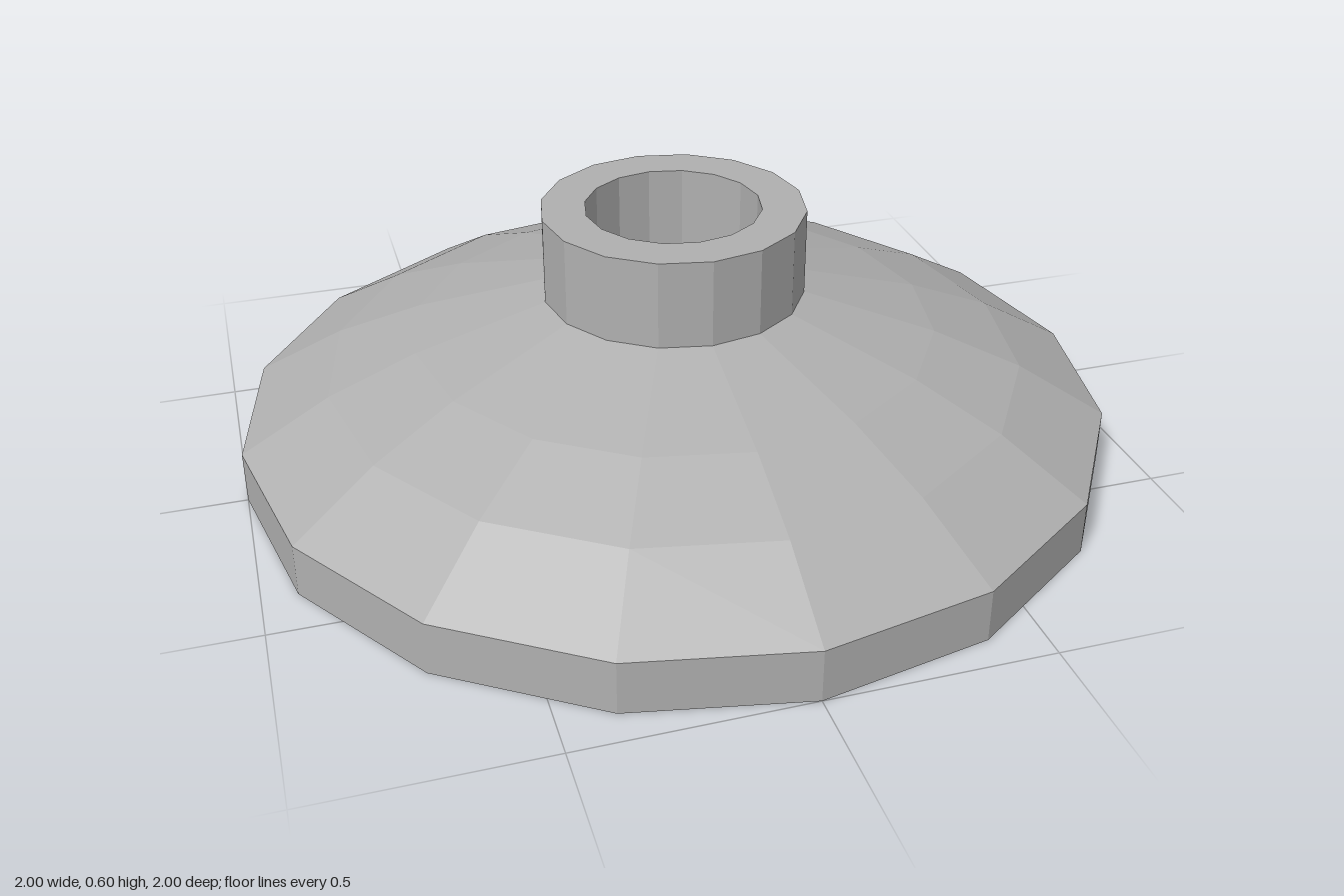
import * as THREE from 'three';

const SIDES = 16;

export function createModel() {
  const group = new THREE.Group();
  const grey = new THREE.MeshStandardMaterial({ color: 0xb0b0b0, flatShading: true });
  grey.name = 'grey';

  // Profiles are [radius, height], outside running upward, inside downward
  const addRing = (name, profile) => {
    const points = profile.map(([r, y]) => new THREE.Vector2(r, y));
    const mesh = new THREE.Mesh(new THREE.LatheGeometry(points, SIDES), grey);
    mesh.name = name;
    group.add(mesh);
  };

  // Domed shell: vertical rim and three sloping bands
  addRing('dishTop', [[1, 0], [1, 0.12], [0.8, 0.235], [0.6, 0.315], [0.3, 0.4]]);

  // Hollow underside, meeting the rim in a thin edge
  addRing('dishUnderside', [[0.4, 0.255], [0.6, 0.195], [0.8, 0.115], [1, 0]]);

  // Upper collar with its through hole
  addRing('collar', [[0.3, 0.4], [0.3, 0.6], [0.2, 0.6], [0.2, 0.28]]);

  // Wider socket below, with a step up to the hole
  addRing('socket', [[0.2, 0.28], [0.3, 0.28], [0.3, 0], [0.4, 0], [0.4, 0.255]]);

  return group;
}
